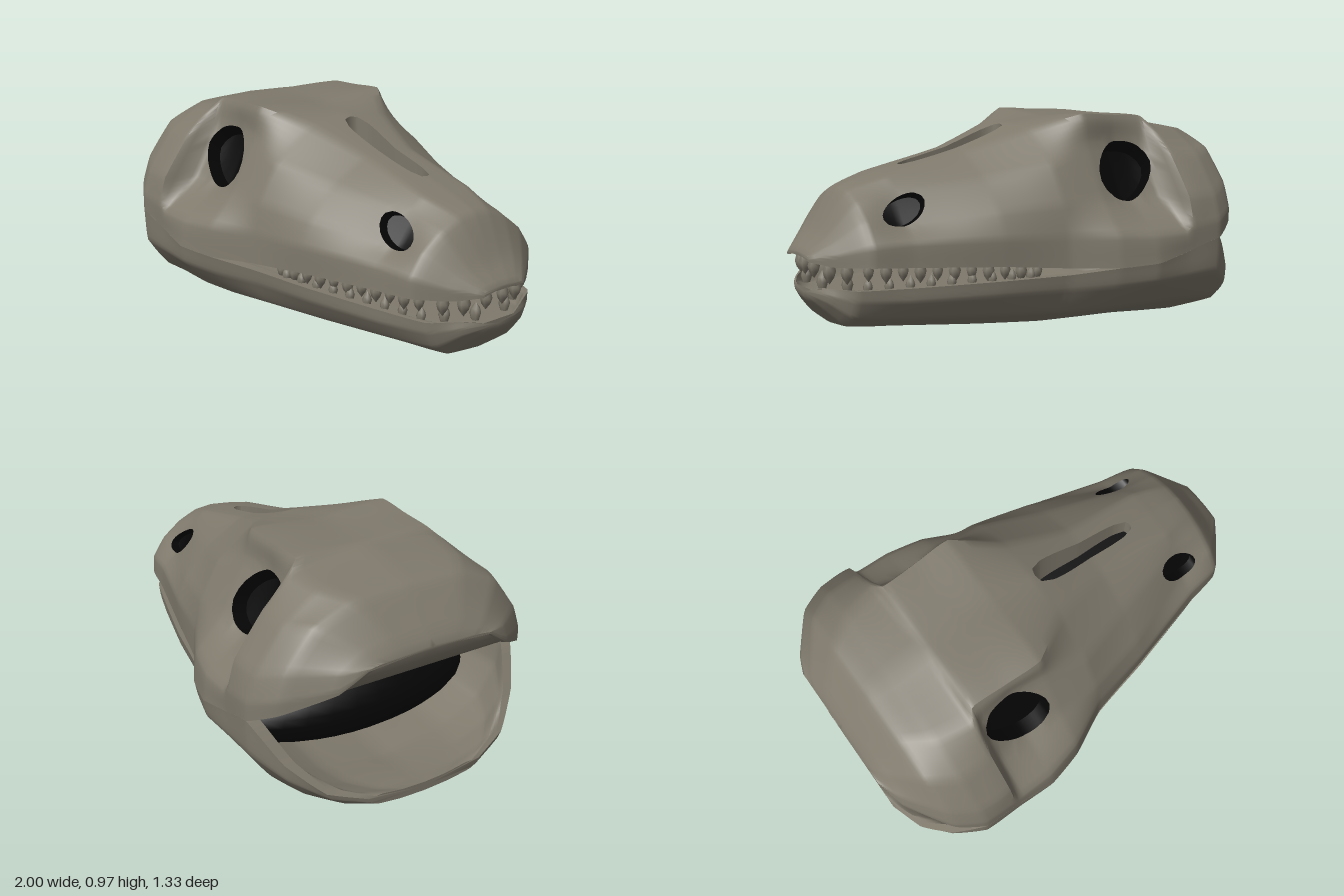
import * as THREE from 'three';
import { toCreasedNormals } from 'three/addons/utils/BufferGeometryUtils.js';

const bone = new THREE.MeshStandardMaterial({ color: 0x7f796c, side: THREE.DoubleSide });
const dark = new THREE.MeshStandardMaterial({ color: 0x050505, side: THREE.DoubleSide });

// Half sections, lip to crown: x, five (z, y) pairs, y on the centre line
const cranium = [
  [-1, .3, .66, .3, .665, .28, .67, .2, .68, .1, .685, .69],
  [-.97, .4, .58, .4, .6, .37, .66, .27, .71, .16, .73, .735],
  [-.84, .59, .48, .59, .54, .55, .65, .43, .8, .25, .87, .88],
  [-.72, .66, .42, .657, .5, .62, .61, .5, .78, .33, .89, .91],
  [-.56, .657, .38, .657, .48, .62, .61, .49, .79, .36, .91, .945],
  [-.53, .657, .372, .65, .46, .49, .6, .37, .82, .32, .95, .95],
  [-.37, .665, .34, .645, .46, .46, .59, .34, .835, .325, .957, .95],
  [-.2, .62, .33, .605, .47, .48, .61, .36, .84, .33, .967, .945],
];
const snout = [
  [0, .52, .335, .51, .47, .475, .6, .385, .76, .2, .9, .92],
  [.28, .455, .36, .455, .48, .41, .58, .29, .71, .12, .81, .82],
  [.65, .36, .38, .35, .48, .275, .54, .19, .66, .12, .725, .735],
  [.82, .325, .39, .32, .47, .26, .56, .17, .63, .08, .67, .68],
  [.93, .2, .385, .2, .43, .17, .47, .12, .495, .05, .505, .505],
  [1, .11, .4, .11, .41, .1, .42, .07, .425, .03, .43, .43],
];
// Half sections, rim to keel: x, four (z, y) pairs, y on the centre line
const mandible = [
  [-1, .28, .09, .27, .07, .23, .05, .12, .035, .03],
  [-.95, .44, .14, .42, .11, .36, .07, .2, .03, .025],
  [-.85, .57, .26, .56, .19, .48, .1, .3, .035, .015],
  [-.72, .66, .42, .65, .27, .55, .13, .34, .04, 0],
  [-.545, .657, .376, .65, .265, .55, .14, .34, .05, .015],
  [-.37, .665, .34, .65, .26, .54, .135, .33, .06, .033],
  [-.2, .62, .33, .6, .25, .5, .13, .31, .06, .037],
  [0, .52, .305, .505, .24, .44, .13, .28, .06, .04],
  [.3, .45, .3, .44, .24, .37, .14, .24, .08, .06],
  [.65, .35, .295, .345, .24, .29, .16, .19, .11, .09],
  [.87, .28, .295, .275, .25, .24, .18, .16, .13, .115],
  [.95, .15, .295, .17, .27, .16, .24, .1, .21, .2],
  [.98, .08, .28, .09, .27, .08, .255, .05, .245, .24],
];

function pairs(row) {
  const points = [];
  for (let k = 1; k < row.length - 1; k += 2) points.push([row[k], row[k + 1]]);
  points.push([0, row[row.length - 1]]);
  return points;
}

// Adds the palate under an upper section
function upperSection(row) {
  const p = pairs(row), [w, lip] = p[0];
  const roof = lip + Math.min(.02, (p[5][1] - lip) * .4);
  return [[0, roof], [w * .86, roof], ...p];
}

// Adds the hollow inner side to a jaw section
function jawSection(row) {
  const p = pairs(row), [w, rim] = p[0];
  const inner = p.slice(1).map(([z, y]) =>
    [z * .9, Math.min(rim, Math.max(y + .04, row[0] < -.3 ? 0 : rim - .05))]);
  return [...p.slice().reverse(), [w * .92, rim], ...inner];
}

// Softened line through values, kept straight beside the sharp indices
function smooth(keys, values, u, sharp = []) {
  const n = keys.length;
  let a = 0;
  while (a < n - 2 && u > keys[a + 1]) a++;
  const h = keys[a + 1] - keys[a], s = (u - keys[a]) / h;
  const slope = (values[a + 1] - values[a]) / h;
  const tangent = k => (k === 0 || k === n - 1 || sharp.includes(k)) ? slope
    : .7 * slope + .3 * (values[k + 1] - values[k - 1]) / (keys[k + 1] - keys[k - 1]);
  const s2 = s * s, s3 = s2 * s;
  return values[a] * (2 * s3 - 3 * s2 + 1) + values[a + 1] * (3 * s2 - 2 * s3)
    + h * (tangent(a) * (s3 - 2 * s2 + s) + tangent(a + 1) * (s3 - s2));
}

function toMesh(triangles, material, name) {
  const g = new THREE.BufferGeometry();
  g.setAttribute('position', new THREE.Float32BufferAttribute(triangles, 3));
  const mesh = new THREE.Mesh(toCreasedNormals(g, .8), material);
  mesh.name = name;
  return mesh;
}

// Mirrored loft through half sections; holes become dark sockets, or a bone-walled slot if they have a floor
function loft(name, rows, toSection, sharp, holes = []) {
  const xs = rows.map(r => r[0]), sections = rows.map(toSection);
  const last = sections[0].length - 1, index = sections[0].map((_, k) => k);
  const nx = 120, nt = last * 6, x0 = xs[0], x1 = xs[xs.length - 1];
  const point = (x, t) => {
    const at = c => smooth(index, index.map(k => smooth(xs, sections.map(s => s[k][c]), x)), t, sharp);
    return [x, at(1), Math.max(0, at(0))];
  };
  const radius = (h, x, t) => (Math.abs((x - h.x) / h.rx) ** h.power
    + Math.abs((t - h.t + h.tilt * (x - h.x)) / h.rt) ** h.power) ** (1 / h.power);
  const gx = i => x0 + (x1 - x0) * i / nx, gt = j => last * j / nt;
  const holeAt = (i, j) => holes.find(h => radius(h, gx(i + .5), gt(j + .5)) < 1);

  // Grid points, with those on a hole's edge pulled onto its outline
  const grid = [];
  for (let i = 0; i <= nx; i++) {
    grid.push([]);
    for (let j = 0; j <= nt; j++) {
      let x = gx(i), t = gt(j);
      const around = [[i, j], [i - 1, j], [i, j - 1], [i - 1, j - 1]]
        .filter(c => c[1] < nt).map(c => holeAt(...c));
      const h = around.find(Boolean);
      if (h && around.some(c => !c)) {
        const r = radius(h, x, t);
        x = h.x + (x - h.x) / r;
        t = Math.min(last, h.t + (t - h.t) / r);
      }
      grid[i].push(point(x, t));
    }
  }
  const skin = [], socket = [];
  const tri = (out, a, b, c) => {
    out.push(...a, ...b, ...c);
    for (const [x, y, z] of [a, c, b]) out.push(x, y, -z);
  };
  const quad = (out, a, b, c, d) => { tri(out, a, b, c); tri(out, a, c, d); };
  for (let i = 0; i < nx; i++) for (let j = 0; j < nt; j++) {
    const c = [grid[i][j], grid[i + 1][j], grid[i + 1][j + 1], grid[i][j + 1]];
    const h = holeAt(i, j);
    if (!h) { quad(skin, ...c); continue; }
    const sink = ([x, y, z]) => h.floor ? [x, h.floor, z] : [x, y + (.5 - y) * .15, z * .85];
    quad(socket, ...c.map(sink));
    [[i, j - 1], [i + 1, j], [i, j + 1], [i - 1, j]].forEach((n, k) => {
      const a = c[k], b = c[(k + 1) % 4];
      if (n[1] < nt && !holeAt(...n)) quad(h.floor ? skin : socket, a, b, sink(b), sink(a));
    });
  }
  // End caps
  for (const i of [0, nx]) {
    const mid = [gx(i), (grid[i][0][1] + grid[i][nt][1]) / 2, 0];
    for (let j = 0; j < nt; j++) {
      if (i) tri(skin, mid, grid[i][j + 1], grid[i][j]);
      else tri(skin, mid, grid[i][j], grid[i][j + 1]);
    }
  }
  const group = new THREE.Group();
  group.name = name;
  group.add(toMesh(skin, bone, name + 'Bone'));
  if (socket.length) group.add(toMesh(socket, dark, name + 'Sockets'));
  return group;
}

// Leaf-shaped teeth on both sides; direction -1 hangs down, 1 stands up
function teeth(name, spots, direction) {
  const profile = [[.018, 0], [.027, .03], [.02, .055], [0, .085]].map(p => new THREE.Vector2(...p));
  const geometry = new THREE.LatheGeometry(profile, 7);
  const group = new THREE.Group();
  group.name = name;
  for (const [x, y, z, size] of spots) for (const side of [1, -1]) {
    const tooth = new THREE.Mesh(geometry, bone);
    tooth.name = 'tooth';
    tooth.position.set(x, y, z * side);
    tooth.scale.setScalar(size);
    if (direction < 0) tooth.rotation.x = Math.PI;
    group.add(tooth);
  }
  return group;
}

export function createModel() {
  const model = new THREE.Group();
  model.name = 'skull';
  const upper = [...cranium, ...snout];
  model.add(loft('upperSkull', upper, upperSection, [1, 2], [
    { x: -.375, t: 4.52, rx: .15, rt: .53, power: 1.8, tilt: 1 },            // eye
    { x: .64, t: 4.45, rx: .095, rt: .45, power: 2, tilt: 2.5 },             // nostril
    { x: .275, t: 7, rx: .26, rt: .36, power: 3, tilt: 0, floor: .66 },      // crest slit
  ]));
  model.add(loft('lowerJaw', mandible, jawSection, [4, 5]));

  // Tooth rows follow the lip and the jaw rim
  const edge = (rows, x, k) => smooth(rows.map(r => r[0]), rows.map(r => r[k]), x);
  const upperSpots = [[.88, .395, .21, 1], [.925, .395, .14, 1.05], [.95, .4, .045, .95]];
  for (let k = 0; k < 11; k++) {
    const x = .12 + .07 * k;
    upperSpots.push([x, edge(upper, x, 2) + .01, edge(upper, x, 1) - .045, .85 + .1 * (k % 2)]);
  }
  const lowerSpots = [[.87, .28, .19, .9], [.93, .28, .08, .9]];
  for (let k = 0; k < 9; k++) {
    const x = .15 + .083 * k;
    lowerSpots.push([x, edge(mandible, x, 2) - .015, edge(mandible, x, 1) - .04, .75]);
  }
  model.add(teeth('upperTeeth', upperSpots, -1), teeth('lowerTeeth', lowerSpots, 1));

  // Throat: dark hollow behind, bone wall towards the mouth
  for (const [name, x, material] of [['throatHollow', -.42, dark], ['throatWall', -.39, bone]]) {
    const ball = new THREE.Mesh(new THREE.SphereGeometry(1, 32, 16), material);
    ball.name = name;
    ball.position.set(x, .25, 0);
    ball.scale.set(.27, .18, .61);
    model.add(ball);
  }
  return model;
}
